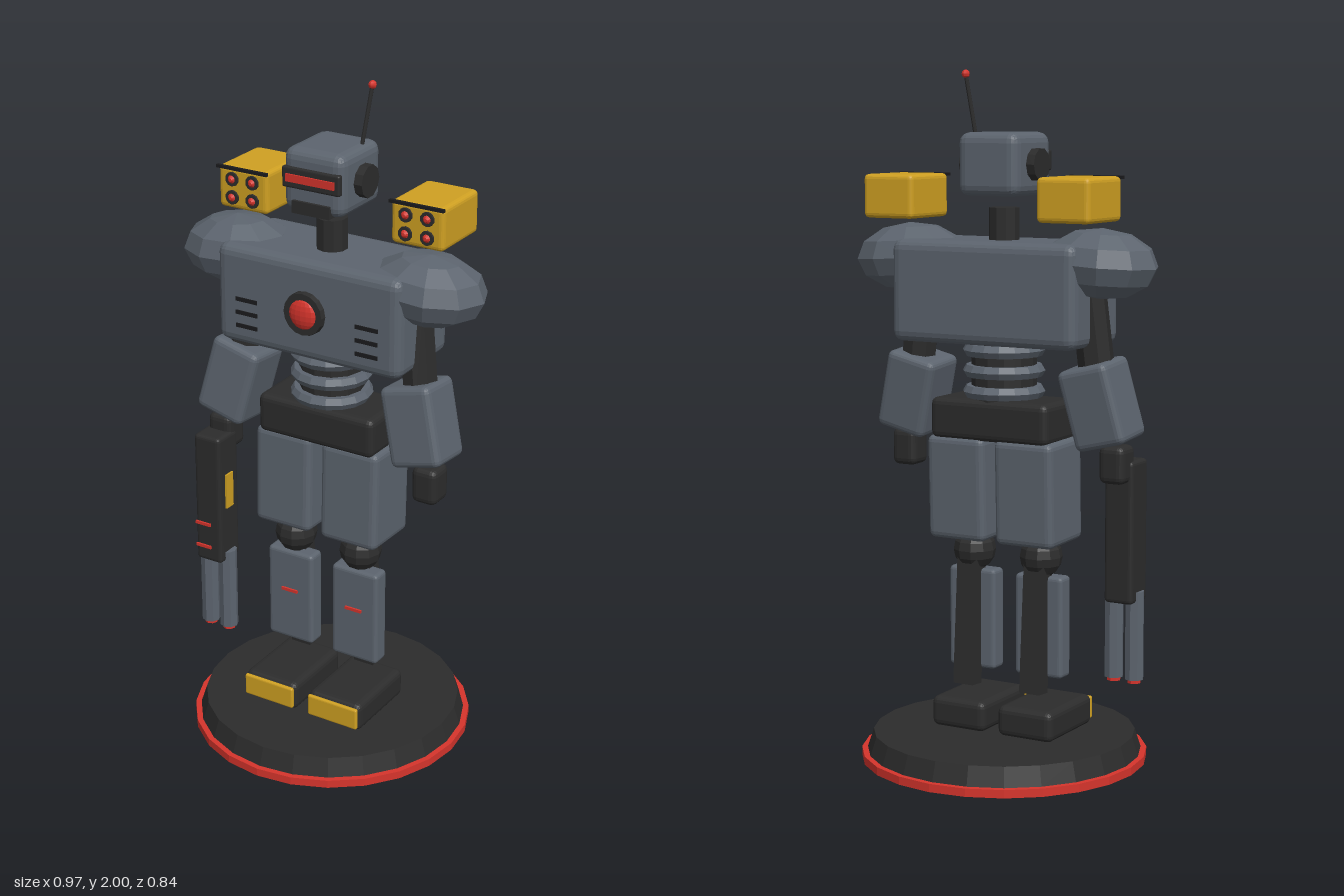
import * as THREE from 'three';
import { RoundedBoxGeometry } from 'three/addons/geometries/RoundedBoxGeometry.js';

const material = (name, color, flatShading = false) => {
  const m = new THREE.MeshStandardMaterial({ color, flatShading });
  m.name = name;
  return m;
};

export function createModel() {
  const model = new THREE.Group();
  model.name = 'robot';
  const armor = material('armorGrey', 0x5c646e, true);
  const dark = material('darkFrame', 0x2c2c2c, true);
  const black = material('ventBlack', 0x1b1b1d);
  const red = material('signalRed', 0xd6342c, true);
  const yellow = material('warningYellow', 0xcfa022, true);

  const add = (name, geometry, mat, x, y, z, rx = 0, ry = 0, rz = 0) => {
    const mesh = new THREE.Mesh(geometry, mat);
    mesh.name = name;
    mesh.position.set(x, y, z);
    mesh.rotation.set(rx, ry, rz);
    model.add(mesh);
    return mesh;
  };
  const box = (w, h, d) => new THREE.BoxGeometry(w, h, d);
  const round = (w, h, d, r = 0.02) => new RoundedBoxGeometry(w, h, d, 2, r);
  const cyl = (rTop, rBottom, h, sides = 12) => new THREE.CylinderGeometry(rTop, rBottom, h, sides);
  const ball = (r, w = 12, h = 8) => new THREE.SphereGeometry(r, w, h);
  const rod = (name, a, b, r, mat) => {
    const from = new THREE.Vector3(...a), to = new THREE.Vector3(...b);
    const mid = from.clone().add(to).multiplyScalar(0.5);
    const mesh = add(name, cyl(r, r, from.distanceTo(to), 8), mat, mid.x, mid.y, mid.z);
    mesh.quaternion.setFromUnitVectors(new THREE.Vector3(0, 1, 0), to.sub(from).normalize());
  };
  const front = Math.PI / 2;

  // Display base
  add('baseRim', cyl(0.42, 0.42, 0.024, 24), red, 0, 0.012, 0);
  add('basePlate', cyl(0.385, 0.403, 0.056, 24), dark, 0, 0.052, 0);

  // Pelvis and ribbed waist
  add('pelvis', round(0.385, 0.12, 0.2), dark, 0, 1.005, 0);
  add('waistCore', cyl(0.095, 0.095, 0.18, 12), dark, 0, 1.145, 0);
  for (const y of [1.085, 1.145, 1.205]) {
    add('waistRing', new THREE.TorusGeometry(0.1, 0.02, 6, 16), armor, 0, y, 0, front);
  }

  // Torso with reactor light and neck
  add('torso', round(0.6, 0.295, 0.28, 0.03), armor, 0, 1.3725, 0);
  add('reactorRing', cyl(0.062, 0.065, 0.02, 16), dark, 0, 1.37, 0.147, front);
  add('reactorLight', ball(0.047, 16, 10), red, 0, 1.37, 0.15).scale.z = 0.4;
  add('neck', cyl(0.045, 0.045, 0.1, 10), dark, 0, 1.562, 0);

  // Head
  add('head', round(0.195, 0.18, 0.21, 0.03), armor, 0, 1.735, 0);
  add('visorFrame', round(0.185, 0.06, 0.02, 0.006), dark, 0, 1.745, 0.104);
  add('visor', box(0.155, 0.022, 0.008), red, 0, 1.745, 0.115);
  add('chinGuard', box(0.12, 0.036, 0.04), dark, 0, 1.663, 0.094);
  rod('antennaRod', [0.072, 1.81, -0.036], [0.093, 1.988, -0.057], 0.006, dark);
  add('antennaTip', ball(0.012, 8, 6), red, 0.093, 1.988, -0.057);

  // Mirrored parts
  for (const s of [-1, 1]) {
    add('ear', cyl(0.047, 0.047, 0.03, 10), dark, s * 0.108, 1.735, 0, 0, 0, front);
    for (const y of [1.285, 1.325, 1.365]) {
      add('chestVent', box(0.072, 0.012, 0.008), black, s * 0.197, y, 0.139);
    }

    // Shoulder and arm
    add('shoulder', ball(1, 10, 6), armor, s * 0.312, 1.462, 0, 0, 0, -s * 0.06)
      .scale.set(0.172, 0.1, 0.137);
    rod('shoulderJoint', [s * 0.27, 1.4, 0], [s * 0.3, 1.13, 0.01], 0.052, dark);
    add('upperArm', round(0.16, 0.235, 0.155), armor, s * 0.307, 1.065, 0.018, -0.09, 0, s * 0.24);
    add('hand', round(0.08, 0.11, 0.085), dark, s * 0.347, 0.893, 0.037);

    // Shoulder launcher
    add('launcher', round(0.165, 0.125, 0.2, 0.014), yellow, s * 0.283, 1.643, -0.077);
    add('launcherTrim', box(0.17, 0.009, 0.01), black, s * 0.283, 1.702, 0.025);
    for (const dx of [-0.034, 0.034]) for (const dy of [-0.027, 0.027]) {
      add('launchTube', cyl(0.021, 0.021, 0.012, 10), dark, s * 0.283 + dx, 1.643 + dy, 0.024, front);
      add('rocketTip', cyl(0.005, 0.013, 0.008, 10), red, s * 0.283 + dx, 1.643 + dy, 0.033, front);
    }

    // Leg
    const x = s * 0.112;
    add('thigh', round(0.188, 0.305, 0.195), armor, x, 0.803, 0.002, -0.03);
    add('knee', ball(0.063, 10, 8), dark, x, 0.605, 0.021);
    add('lowerLeg', box(0.066, 0.4, 0.052), dark, x, 0.407, -0.011, 0.07);
    add('shinPlate', round(0.155, 0.3, 0.06, 0.012), armor, x, 0.4, 0.03);
    add('shinStripe', box(0.055, 0.009, 0.008), red, x, 0.42, 0.062);
    add('boot', round(0.18, 0.09, 0.26), dark, x, 0.125, 0.045);
    add('toePlate', round(0.17, 0.068, 0.014, 0.006), yellow, x, 0.127, 0.178);
  }

  // Forearm cannon on the right arm
  add('cannonBody', round(0.09, 0.415, 0.1, 0.012), dark, -0.35, 0.693, 0.091);
  add('cannonPanel', box(0.008, 0.11, 0.035), yellow, -0.303, 0.72, 0.095);
  for (const y of [0.55, 0.625]) {
    add('cannonStripe', box(0.052, 0.009, 0.006), red, -0.35, y, 0.165);
  }
  for (const dx of [-0.033, 0.033]) {
    add('cannonBarrel', cyl(0.028, 0.028, 0.26, 8), armor, -0.347 + dx, 0.388, 0.093);
    add('barrelTip', cyl(0.02, 0.02, 0.012, 8), red, -0.347 + dx, 0.253, 0.093);
  }

  return model;
}
